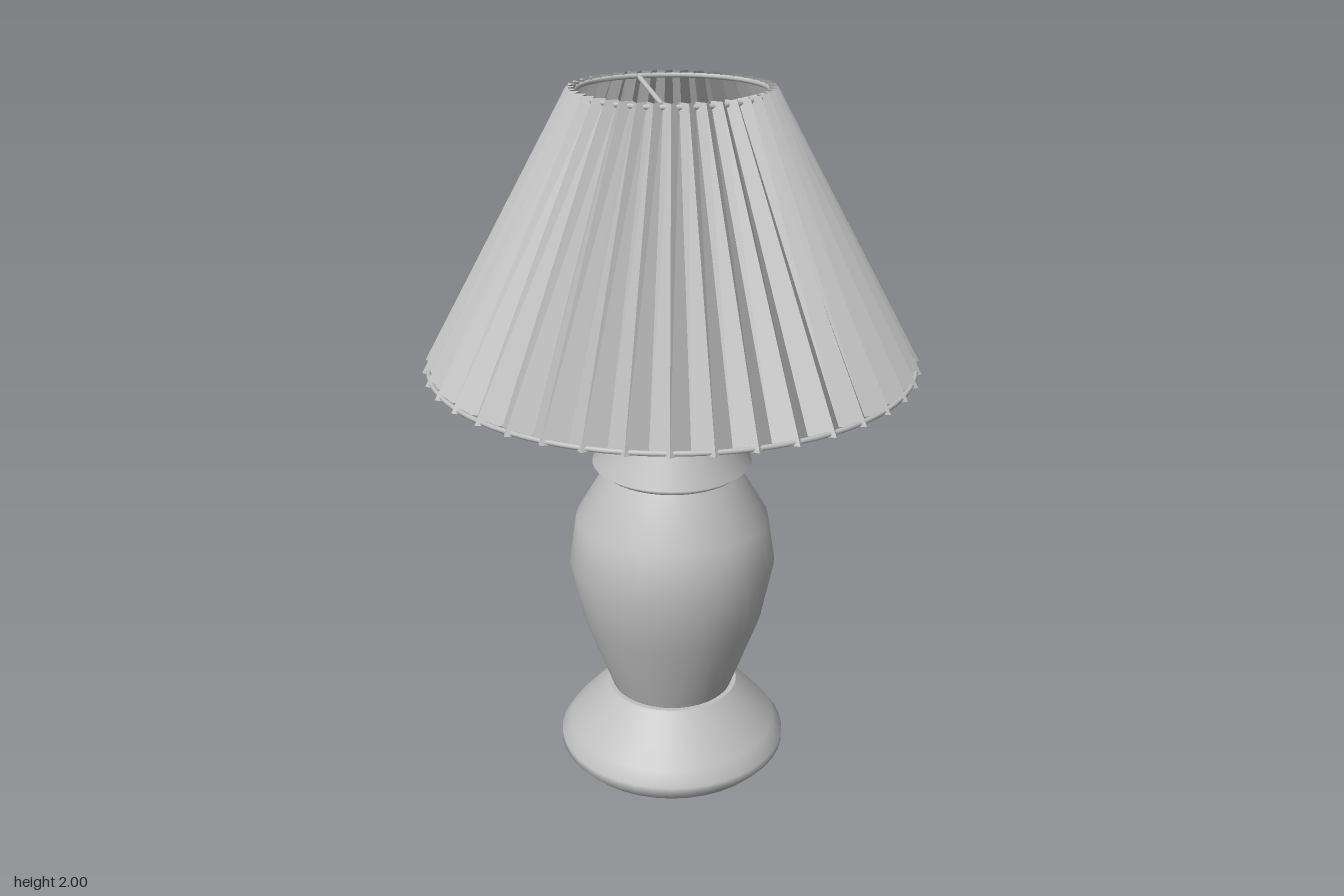
import * as THREE from 'three';

const grey = new THREE.MeshStandardMaterial({ color: 0xc0c0c0, side: THREE.DoubleSide });
grey.name = 'plain grey';

export function createModel() {
  const lamp = new THREE.Group();
  lamp.name = 'tableLamp';

  const add = (name, geometry, parent = lamp) => {
    const mesh = new THREE.Mesh(geometry, grey);
    mesh.name = name;
    parent.add(mesh);
    return mesh;
  };
  // Turned part from [radius, height] pairs, listed from bottom to top
  const turned = (name, profile) =>
    add(name, new THREE.LatheGeometry(profile.map(([r, y]) => new THREE.Vector2(r, y)), 40));
  // Thin straight rod between two points
  const rod = (name, a, b, radius, parent) =>
    add(name, new THREE.TubeGeometry(new THREE.LineCurve3(a, b), 1, radius, 8), parent);

  // Turned foot, vase body and neck
  turned('footUnderside', [[0, 0.005], [0.31, 0.005]]);
  turned('foot', [[0.31, 0.005], [0.338, 0.035], [0.338, 0.06], [0.31, 0.1], [0.195, 0.23]]);
  turned('footTop', [[0.195, 0.23], [0.17, 0.23]]);
  turned('body', [[0.18, 0.23], [0.265, 0.465], [0.3, 0.64], [0.278, 0.78], [0.19, 0.93]]);
  turned('neckUnderside', [[0.18, 0.93], [0.2, 0.93]]);
  turned('neck', [[0.2, 0.93], [0.228, 0.952], [0.14, 1.06], [0.139, 1.145],
    [0.228, 1.208], [0.228, 1.216], [0.19, 1.237]]);
  turned('neckTop', [[0.19, 1.237], [0, 1.24]]);

  // Pleated shade: a cone whose every second edge is pulled inward
  const pleats = 40, yBottom = 1.25, yTop = 2;
  const cone = new THREE.CylinderGeometry(0.273, 0.685, yTop - yBottom, pleats * 2, 1, true);
  const pos = cone.attributes.position;
  const perRow = pleats * 2 + 1;
  for (let i = 0; i < pos.count; i++) {
    if ((i % perRow) % 2 === 0) continue;
    const k = i < perRow ? 0.91 : 0.932;
    pos.setX(i, pos.getX(i) * k);
    pos.setZ(i, pos.getZ(i) * k);
  }
  const pleated = cone.toNonIndexed();
  pleated.computeVertexNormals();
  add('pleatedShade', pleated).position.y = (yTop + yBottom) / 2;

  // Wire rings that hold the shade
  for (const [name, radius, y] of [['topRing', 0.256, 1.988], ['bottomRing', 0.668, 1.256]]) {
    const ring = add(name, new THREE.TorusGeometry(radius, 0.007, 8, 80));
    ring.rotation.x = Math.PI / 2;
    ring.position.y = y;
  }

  // Stem and three arms up to the top ring
  const frame = new THREE.Group();
  frame.name = 'shadeFrame';
  lamp.add(frame);
  const hub = new THREE.Vector3(0, 1.92, 0);
  rod('stem', new THREE.Vector3(0, 1.235, 0), hub, 0.014, frame);
  add('hub', new THREE.CylinderGeometry(0.018, 0.018, 0.03, 12), frame).position.copy(hub);
  add('stemCollar', new THREE.CylinderGeometry(0.02, 0.02, 0.02, 12), frame).position.y = 1.245;
  for (let i = 0; i < 3; i++) {
    const a = (i * Math.PI * 2) / 3;
    rod('arm', hub, new THREE.Vector3(Math.cos(a) * 0.253, 1.985, Math.sin(a) * 0.253), 0.007, frame);
  }

  return lamp;
}
